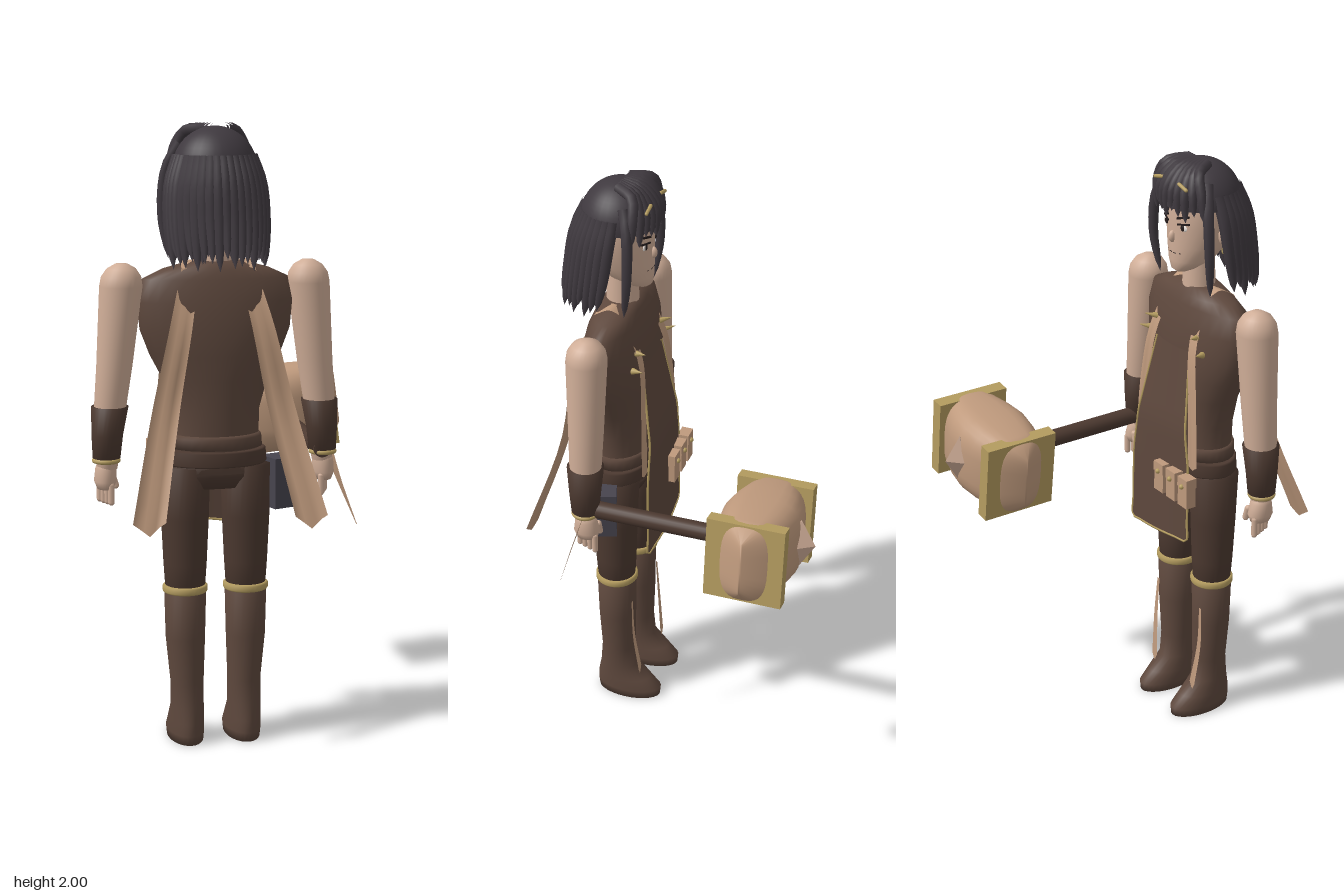
import * as THREE from 'three';

const mat = (name, color, side = THREE.FrontSide) => {
  const m = new THREE.MeshStandardMaterial({ color, side });
  m.name = name;
  return m;
};

export function createModel() {
  const root = new THREE.Group();
  root.name = 'hammerFighter';
  const skin = mat('skin', 0xd0ae98), brown = mat('brown leather', 0x5e483d, THREE.DoubleSide);
  const dark = mat('dark leather', 0x4c3930), tan = mat('tan cloth', 0xbf9a7d, THREE.DoubleSide);
  const hair = mat('hair', 0x3f393f), gold = mat('gold', 0xb59d60), slate = mat('slate', 0x47444e);
  const ink = mat('ink', 0x241c1c), white = mat('eye white', 0xe8e0da);

  // the figure looks along -z, the hammer stands beside it
  const body = new THREE.Group();
  body.name = 'figure';
  body.position.set(-0.09, 0, 0.265);
  root.add(body);

  const add = (name, geo, m, x = 0, y = 0, z = 0, parent = body) => {
    const mesh = new THREE.Mesh(geo, m);
    mesh.name = name;
    mesh.position.set(x, y, z);
    parent.add(mesh);
    return mesh;
  };
  const V = (p) => new THREE.Vector3(...p);

  // closed skin over rings [y, cx, cz, rx, rz], lowest first; power > 2 squares the rings
  const loft = (rings, power = 2, n = 28) => {
    const pos = [], idx = [];
    const bend = (c) => Math.sign(c) * Math.abs(c) ** (2 / power);
    rings.forEach(([y, cx, cz, rx, rz]) => {
      for (let j = 0; j < n; j++) {
        const a = (j / n) * Math.PI * 2;
        pos.push(cx + rx * bend(Math.cos(a)), y, cz + rz * bend(Math.sin(a)));
      }
    });
    const last = rings.length - 1, lo = pos.length / 3;
    [rings[0], rings[last]].forEach(([y, cx, cz]) => pos.push(cx, y, cz));
    for (let j = 0; j < n; j++) {
      const k = (j + 1) % n;
      for (let i = 0; i < last; i++) {
        const a = i * n + j, c = i * n + k;
        idx.push(a, a + n, c, a + n, c + n, c);
      }
      idx.push(lo, j, k, lo + 1, last * n + k, last * n + j);
    }
    const g = new THREE.BufferGeometry();
    g.setAttribute('position', new THREE.Float32BufferAttribute(pos, 3));
    g.setIndex(idx);
    g.computeVertexNormals();
    return g;
  };

  // tapering lock along a curve
  const lock = (pts, r, seg = 10) => {
    const curve = new THREE.CatmullRomCurve3(pts.map(V));
    const g = new THREE.TubeGeometry(curve, seg, r, 7);
    const p = g.attributes.position, v = new THREE.Vector3();
    for (let i = 0; i < p.count; i++) {
      const t = Math.floor(i / 8) / seg, c = curve.getPointAt(t);
      v.fromBufferAttribute(p, i).sub(c).multiplyScalar(Math.sqrt(Math.max(0, 1 - t ** 3))).add(c);
      p.setXYZ(i, v.x, v.y, v.z);
    }
    return g;
  };

  // flat band along a curve, width from w0 to w1, with a pointed end
  const ribbon = (pts, w0, w1, tip = 0, wave = 0) => {
    const curve = new THREE.CatmullRomCurve3(pts.map(V));
    const g = new THREE.PlaneGeometry(1, 1, 6, 14), p = g.attributes.position;
    for (let i = 0; i < p.count; i++) {
      const u = p.getX(i) * 2, t = 0.5 - p.getY(i), c = curve.getPoint(t);
      p.setXYZ(i, c.x + u * (w0 + (w1 - w0) * t), c.y - tip * t * (1 - Math.abs(u)),
        c.z + wave * t * Math.cos(u * 5));
    }
    g.computeVertexNormals();
    return g;
  };

  // torso, belt, hips, neck
  add('torso', loft([[0.9, 0, 0, 0.15, 0.095], [1.0, 0, 0, 0.14, 0.1], [1.1, 0, 0, 0.142, 0.102],
    [1.2, 0, 0, 0.17, 0.107], [1.28, 0, 0, 0.212, 0.111], [1.36, 0, 0, 0.243, 0.111], [1.45, 0, 0, 0.252, 0.1],
    [1.52, 0, 0, 0.235, 0.082], [1.55, 0, 0, 0.17, 0.07], [1.575, 0, 0, 0.075, 0.055]]), brown);
  add('hips', loft([[0.85, 0, 0, 0.13, 0.07], [0.89, 0, 0, 0.165, 0.09], [0.95, 0, 0, 0.16, 0.1]]), dark);
  add('belt', loft([[0.925, 0, 0, 0.163, 0.11], [0.93, 0, 0, 0.167, 0.114], [0.97, 0, 0, 0.164, 0.112], [0.975, 0, 0, 0.158, 0.107]]), dark);
  add('upperBelt', loft([[0.98, 0, 0, 0.152, 0.109], [1.015, 0, 0, 0.149, 0.11], [1.025, 0, 0, 0.14, 0.1]]), brown);
  add('neck', new THREE.CylinderGeometry(0.05, 0.056, 0.14, 20), skin, 0, 1.6, -0.005);

  for (const s of [-1, 1]) {
    // legs and boots
    add('trouserLeg', loft([[0.48, s * 0.1, 0, 0.062, 0.062], [0.6, s * 0.1, 0, 0.07, 0.07],
      [0.75, s * 0.1, 0, 0.077, 0.076], [0.92, s * 0.098, 0, 0.08, 0.085]]), dark);
    add('boot', loft([[0, s * 0.095, -0.038, 0.057, 0.114], [0.03, s * 0.095, -0.038, 0.06, 0.117],
      [0.07, s * 0.095, -0.02, 0.057, 0.097], [0.12, s * 0.095, 0, 0.054, 0.067], [0.2, s * 0.095, 0, 0.054, 0.06],
      [0.35, s * 0.1, 0, 0.064, 0.065], [0.51, s * 0.1, 0, 0.068, 0.068]]), brown);
    add('bootCuff', loft([[0.502, s * 0.1, 0, 0.069, 0.069], [0.507, s * 0.1, 0, 0.073, 0.073],
      [0.522, s * 0.1, 0, 0.073, 0.073], [0.527, s * 0.1, 0, 0.067, 0.067]]), gold);
    add('shinFlap', ribbon([[s * 0.125, 0.42, -0.064], [s * 0.13, 0.28, -0.07], [s * 0.115, 0.12, -0.085]], 0.006, 0.014, 0.03), tan);

    // arm, bracer, hand
    add('arm', loft([[0.92, s * 0.352, 0.005, 0.033, 0.033], [1.1, s * 0.342, 0.005, 0.05, 0.052],
      [1.25, s * 0.325, 0.005, 0.057, 0.058], [1.5, s * 0.302, 0.005, 0.068, 0.067], [1.53, s * 0.301, 0.005, 0.063, 0.062],
      [1.555, s * 0.3, 0.005, 0.046, 0.046], [1.57, s * 0.3, 0.005, 0.02, 0.02]]), skin);
    add('bracer', loft([[0.955, s * 0.353, 0.005, 0.044, 0.046], [1.03, s * 0.35, 0.005, 0.05, 0.053], [1.12, s * 0.341, 0.005, 0.059, 0.061]]), dark);
    const band = add('wristBand', new THREE.TorusGeometry(0.038, 0.008, 8, 24), gold, s * 0.354, 0.947, 0.005);
    band.rotation.x = Math.PI / 2;
    add('palm', loft([[0.855, s * 0.357, 0, 0.026, 0.035], [0.88, s * 0.357, 0, 0.036, 0.044], [0.92, s * 0.355, 0.003, 0.034, 0.036], [0.945, s * 0.353, 0.005, 0.028, 0.028]]), skin);
    for (let i = 0; i < 4; i++) {
      add('finger', new THREE.CapsuleGeometry(0.0105, 0.055, 3, 8), skin, s * (0.37 - i * 0.009), 0.842, -0.032 + i * 0.021);
    }
    add('thumb', new THREE.CapsuleGeometry(0.011, 0.04, 3, 8), skin, s * 0.325, 0.875, -0.03).rotation.z = s * -0.3;

    // cloth straps: back tails, front straps, gold studs
    add('backTail', ribbon([[s * 0.09, 1.555, 0.05], [s * 0.13, 1.38, 0.108], [s * 0.185, 1.12, 0.135], [s * 0.258, 0.79, 0.24]], 0.028, 0.052, 0.04, 0.006), tan);
    add('frontStrap', ribbon([[s * 0.085, 1.555, -0.045], [s * 0.11, 1.4, -0.106], [s * 0.135, 1.22, -0.122], [s * 0.15, 1.0, -0.128]], 0.018, 0.025, 0.02, 0.003), tan);
    add('shoulderLink', ribbon([[s * 0.085, 1.555, -0.045], [s * 0.088, 1.577, 0], [s * 0.09, 1.555, 0.05]], 0.018, 0.028), tan);
    for (let i = 0; i < 2; i++) {
      const spike = add('collarSpike', new THREE.ConeGeometry(0.012, 0.05, 8), gold, s * (0.12 + i * 0.03), 1.44 - i * 0.05, -0.108);
      spike.rotation.set(-1.3, 0, s * -0.4);
    }
  }

  // apron with gold hem
  const apronPoint = (u, t) => [u * (0.09 + 0.068 * Math.min(1, t * 1.6)) + 0.012 * t,
    1.38 - 0.68 * t - 0.02 * t * u, -0.115 - 0.04 * Math.min(1, t * 2.5) + 0.012 * u * u];
  const apron = new THREE.PlaneGeometry(2, 1, 12, 16), ap = apron.attributes.position;
  for (let i = 0; i < ap.count; i++) ap.setXYZ(i, ...apronPoint(ap.getX(i), 0.5 - ap.getY(i)));
  apron.computeVertexNormals();
  add('apron', apron, brown);
  const hem = [];
  for (let i = 0; i <= 10; i++) hem.push(apronPoint(-1, i / 10));
  for (let i = 1; i < 6; i++) hem.push(apronPoint(-1 + i / 3, 1));
  for (let i = 10; i >= 0; i--) hem.push(apronPoint(1, i / 10));
  add('apronHem', new THREE.TubeGeometry(new THREE.CatmullRomCurve3(hem.map(V)), 80, 0.004, 5), gold);

  // pouches, side case, knife
  for (let i = 0; i < 3; i++) {
    const x = -0.167 + i * 0.068;
    add('pouch', new THREE.BoxGeometry(0.05, 0.1, 0.036), tan, x, 0.92, -0.16);
    add('pouchFlap', new THREE.BoxGeometry(0.052, 0.035, 0.04), tan, x, 0.957, -0.16);
    add('pouchButton', new THREE.SphereGeometry(0.009, 10, 8), gold, x, 0.945, -0.181);
  }
  add('sideCase', new THREE.BoxGeometry(0.07, 0.15, 0.085), slate, 0.205, 0.845, 0).rotation.y = 0.35;
  add('caseLid', new THREE.BoxGeometry(0.074, 0.03, 0.089), slate, 0.205, 0.92, 0).rotation.y = 0.35;
  add('knife', ribbon([[0.375, 0.95, 0.0], [0.405, 0.85, 0.03], [0.455, 0.71, 0.065]], 0.014, 0.001), tan);

  // head and face
  add('head', loft([[1.63, 0, -0.075, 0.02, 0.02], [1.64, 0, -0.065, 0.04, 0.042], [1.67, 0, -0.035, 0.071, 0.076],
    [1.72, 0, -0.01, 0.096, 0.102], [1.79, 0, -0.003, 0.11, 0.109], [1.87, 0, 0, 0.115, 0.113], [1.93, 0, 0, 0.095, 0.098], [1.965, 0, 0, 0.04, 0.045]]), skin);
  const dot = (name, m, x, y, z, a, b, c) => add(name, new THREE.SphereGeometry(1, 14, 10), m, x, y, z).scale.set(a, b, c);
  for (const s of [-1, 1]) {
    dot('eye', white, s * 0.043, 1.79, -0.101, 0.021, 0.011, 0.004);
    dot('iris', ink, s * 0.043, 1.79, -0.104, 0.009, 0.011, 0.004);
    const lid = add('eyelid', new THREE.BoxGeometry(0.046, 0.005, 0.008), ink, s * 0.045, 1.802, -0.102);
    lid.rotation.set(0, s * -0.35, s * 0.15);
    const brow = add('eyebrow', new THREE.BoxGeometry(0.046, 0.006, 0.008), ink, s * 0.045, 1.825, -0.104);
    brow.rotation.set(0, s * -0.35, s * 0.25);
    dot('ear', skin, s * 0.112, 1.765, 0.01, 0.014, 0.035, 0.022);
    dot('earring', gold, s * 0.118, 1.715, 0.005, 0.008, 0.012, 0.008);
    dot('piercing', ink, s * 0.03, 1.70, -0.102, 0.004, 0.004, 0.004);
  }
  dot('nose', skin, 0, 1.752, -0.112, 0.011, 0.02, 0.014);
  dot('mouth', ink, 0, 1.698, -0.1075, 0.022, 0.003, 0.004);

  // hair: cap, hanging locks, fringe, side locks and clips
  const cap = add('hairCap', new THREE.SphereGeometry(1, 32, 14, 0, Math.PI * 2, 0, Math.PI / 2), hair, 0, 1.855, -0.003);
  cap.scale.set(0.135, 0.138, 0.13);
  for (let row = 0; row < 2; row++) {
    for (let i = 0; i < 23; i++) {
      const a = (i / 22 - 0.5) * (row ? 3.2 : 3.5), sx = Math.sin(a), cz = Math.cos(a), k = 1 - row * 0.13;
      const end = 1.575 + 0.02 * Math.sin(i * 2.4) + row * 0.02;
      add('backLock', lock([[sx * 0.115 * k, 1.9, cz * 0.105 * k], [sx * 0.142 * k, 1.82, 0.012 + cz * 0.13 * k],
        [sx * 0.152 * k, 1.7, 0.03 + cz * 0.137 * k], [sx * 0.148 * k, end, 0.055 + cz * 0.137 * k]], 0.021), hair);
    }
  }
  for (let i = 0; i < 10; i++) {
    const u = i / 4.5 - 1;
    add('fringeLock', lock([[u * 0.045, 1.985, -0.015], [u * 0.085, 1.972, -0.075], [u * 0.118, 1.915, -0.123 + 0.035 * u * u],
      [u * 0.132, 1.83 + 0.015 * Math.sin(i * 2.1), -0.127 + 0.04 * u * u]], 0.018), hair);
  }
  for (const s of [-1, 1]) {
    add('sideLock', lock([[s * 0.1, 1.94, -0.05], [s * 0.14, 1.86, -0.075], [s * 0.155, 1.72, -0.078], [s * 0.138, 1.575, -0.06]], 0.018), hair);
    const clip = add('hairClip', new THREE.CapsuleGeometry(0.006, 0.04, 3, 8), gold, s * 0.065, 1.935, -0.122);
    clip.rotation.z = Math.PI / 2 - s * 0.25;
  }

  // hammer
  const hammer = new THREE.Group();
  hammer.name = 'hammer';
  hammer.position.set(0.255, 0.98, -0.33);
  root.add(hammer);
  add('handle', new THREE.CylinderGeometry(0.029, 0.029, 0.5, 20), dark, 0, -0.02, 0.385, hammer).rotation.x = Math.PI / 2;
  const headGroup = new THREE.Group();
  headGroup.name = 'hammerHead';
  headGroup.rotation.z = 0.13;
  hammer.add(headGroup);
  const barrel = add('barrel', loft([[-0.22, 0, 0, 0.09, 0.005], [-0.185, 0, 0, 0.128, 0.075], [-0.15, 0, 0, 0.14, 0.105],
    [-0.07, 0, 0, 0.146, 0.128], [0, 0, 0, 0.148, 0.138], [0.07, 0, 0, 0.146, 0.128], [0.15, 0, 0, 0.14, 0.105],
    [0.185, 0, 0, 0.128, 0.075], [0.22, 0, 0, 0.09, 0.005]], 3, 32), tan, 0, 0, 0, headGroup);
  barrel.rotation.z = -Math.PI / 2;
  for (const s of [-1, 1]) add('hammerBand', new THREE.BoxGeometry(0.046, 0.27, 0.256), gold, s * 0.158, 0, 0, headGroup);
  const spike = add('hammerSpike', new THREE.OctahedronGeometry(1), skin, 0, 0.01, -0.13, headGroup);
  spike.scale.set(0.042, 0.085, 0.052);

  return root;
}
